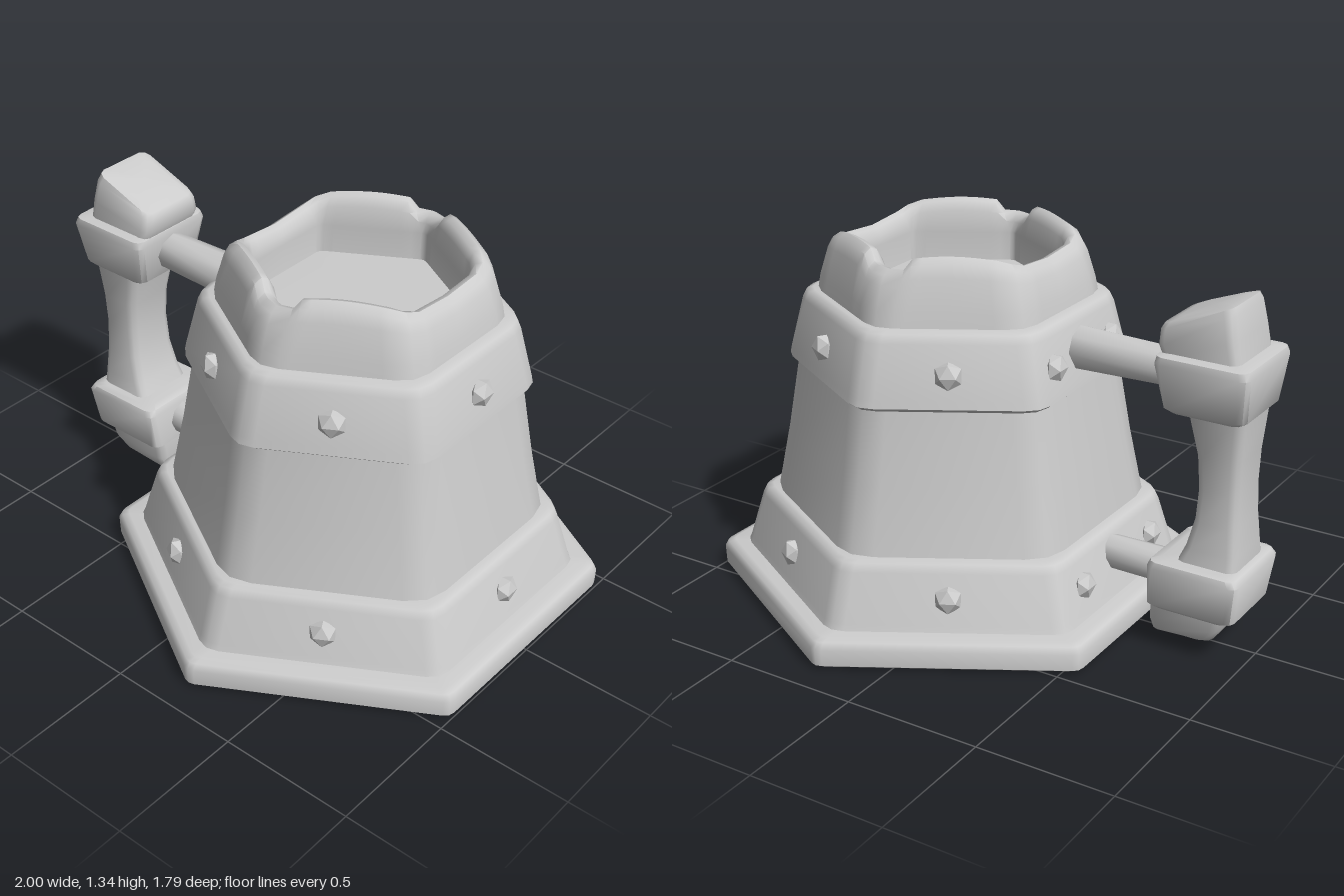
import * as THREE from 'three';
import { toCreasedNormals } from 'three/addons/utils/BufferGeometryUtils.js';

const CX = 0.22; // centre line of the mug
const ROOT = 2 / Math.sqrt(3);

// Skin over a stack of closed rings, capped at both ends
function loft(rings, crease = 0.9) {
  const n = rings[0].length, pos = [], idx = [];
  rings.forEach(r => r.forEach(p => pos.push(p.x, p.y, p.z)));
  for (let j = 0; j < rings.length - 1; j++) {
    for (let i = 0; i < n; i++) {
      const a = j * n + i, b = j * n + (i + 1) % n;
      idx.push(a, b, b + n, a, b + n, a + n);
    }
  }
  [0, rings.length - 1].forEach(j => {
    const c = new THREE.Vector3();
    rings[j].forEach(p => c.addScaledVector(p, 1 / n));
    const hub = pos.length / 3;
    pos.push(c.x, c.y, c.z);
    for (let i = 0; i < n; i++) {
      const a = j * n + i, b = j * n + (i + 1) % n;
      if (j === 0) idx.push(hub, b, a); else idx.push(hub, a, b);
    }
  });
  const g = new THREE.BufferGeometry();
  g.setAttribute('position', new THREE.Float32BufferAttribute(pos, 3));
  g.setIndex(idx);
  return toCreasedNormals(g, crease);
}

// Hexagon with softened corners; lift(side, t) shifts points up or down
function hexRing(apothem, y, soft, seg = 1, lift = () => 0) {
  const pts = [], R = apothem * ROOT, cut = soft / R;
  const at = (r, ang) => new THREE.Vector3(CX + r * Math.cos(ang), y, -r * Math.sin(ang));
  for (let k = 0; k < 6; k++) {
    const a0 = (k - 0.5) * Math.PI / 3, a1 = (k + 0.5) * Math.PI / 3;
    for (let s = 0; s <= seg; s++) {
      const t = s / seg;
      const p = at(R, a0).lerp(at(R, a1), cut + (1 - 2 * cut) * t);
      p.y += lift(k, t);
      pts.push(p);
    }
    const c = at(R - soft * 0.25, a1);
    c.y += (lift(k, 1) + lift((k + 1) % 6, 0)) / 2;
    pts.push(c);
  }
  return pts;
}

// Rectangle with softened corners, optionally sloping along x
function boxRing(x0, x1, y, depth, slope = 0, soft = 0.03) {
  const pts = [], cx = (x0 + x1) / 2, w = (x1 - x0) / 2, d = depth / 2;
  [[1, 1], [-1, 1], [-1, -1], [1, -1]].forEach(([sx, sz], k) => {
    const corner = [[w, d - soft], [w - soft * 0.3, d - soft * 0.3], [w - soft, d]];
    if (k % 2) corner.reverse();
    corner.forEach(([x, z]) =>
      pts.push(new THREE.Vector3(cx + sx * x, y + slope * sx * x, -0.01 - sz * z)));
  });
  return pts;
}

// Uneven lip: low on the two side faces, notched at the front and back corners
function rimLift(k, t) {
  if (k % 3 === 0) return -0.045 + 0.012 * Math.abs(2 * t - 1);
  const toNotch = (k === 1 || k === 4) ? 1 - t : t;
  return (toNotch < 0.1 ? -0.035 : 0) + 0.012 * Math.sin(Math.PI * t);
}

export function createModel() {
  const model = new THREE.Group();
  const grey = new THREE.MeshStandardMaterial({ color: 0xcccccc });
  grey.name = 'light grey';
  const add = (name, geometry, parent = model) => {
    const m = new THREE.Mesh(geometry, grey);
    m.name = name;
    parent.add(m);
    return m;
  };
  const hexPart = (name, soft, profile) =>
    add(name, loft(profile.map(([a, y]) => hexRing(a, y, soft))));

  // Hexagonal body and its bands
  hexPart('basePlate', 0.025, [[0.755, 0], [0.778, 0.015], [0.78, 0.075], [0.768, 0.1], [0.745, 0.108], [0.6, 0.112]]);
  hexPart('lowerBand', 0.05, [[0.71, 0.09], [0.695, 0.13], [0.648, 0.305], [0.635, 0.335], [0.615, 0.342], [0.55, 0.344]]);
  hexPart('body', 0.09, [[0.61, 0.3], [0.56, 0.58], [0.512, 0.9]]);
  hexPart('upperBand', 0.06, [[0.46, 0.843], [0.52, 0.846], [0.54, 0.862], [0.535, 0.89], [0.493, 1.075], [0.48, 1.105], [0.46, 1.113], [0.4, 1.115]]);

  // Lip and hollow; the fourth value is how much the uneven lip applies
  const rim = [
    [0.455, 1.05, 0.07, 0], [0.438, 1.16, 0.07, 0], [0.412, 1.27, 0.07, 0.7], [0.395, 1.312, 0.07, 1],
    [0.37, 1.33, 0.06, 1], [0.348, 1.322, 0.05, 1], [0.33, 1.29, 0.03, 0.8], [0.325, 1.22, 0.015, 0],
    [0.325, 0.72, 0.015, 0], [0.3, 0.7, 0.015, 0],
  ];
  add('rimAndHollow', loft(rim.map(([a, y, soft, k]) =>
    hexRing(a, y, soft, 10, (side, t) => k * rimLift(side, t)))));

  // Rivets: one per face, and a pair beside each handle rod
  const rivets = new THREE.Group();
  rivets.name = 'rivets';
  model.add(rivets);
  const rivetShape = new THREE.IcosahedronGeometry(0.052, 0);
  [[0.52, 0.975, 0.19], [0.672, 0.22, 0.24]].forEach(([apothem, y, pair]) => {
    for (let k = 0; k < 6; k++) {
      const ang = k * Math.PI / 3;
      (k === 3 ? [-pair, pair] : [0]).forEach(side => {
        const r = add('rivet', rivetShape, rivets);
        r.position.set(
          CX + apothem * Math.cos(ang) - side * Math.sin(ang), y,
          -apothem * Math.sin(ang) - side * Math.cos(ang));
        r.rotation.y = ang;
        r.scale.x = 0.75;
      });
    }
  });

  // Handle: blocks, grip, tilted knob and foot
  const handle = new THREE.Group();
  handle.name = 'handle';
  model.add(handle);
  const boxPart = (name, sections) => add(name, loft(sections.map(s => boxRing(...s))), handle);
  boxPart('upperBlock', [
    [-0.96, -0.70, 0.885, 0.27, 0], [-0.98, -0.68, 0.9, 0.3, 0], [-0.998, -0.655, 1.06, 0.36, 0],
    [-0.99, -0.66, 1.085, 0.345, 0], [-0.96, -0.69, 1.092, 0.29, 0]]);
  boxPart('lowerBlock', [
    [-0.95, -0.67, 0.158, 0.28, 0], [-0.975, -0.645, 0.172, 0.31, 0], [-0.995, -0.65, 0.32, 0.35, 0],
    [-0.98, -0.66, 0.342, 0.335, 0], [-0.95, -0.69, 0.348, 0.28, 0]]);
  boxPart('grip', [
    [-0.96, -0.735, 0.33, 0.25], [-0.957, -0.765, 0.4, 0.23], [-0.95, -0.79, 0.5, 0.21],
    [-0.947, -0.797, 0.62, 0.2], [-0.95, -0.79, 0.74, 0.21], [-0.963, -0.755, 0.9, 0.24]]);
  boxPart('knob', [
    [-0.95, -0.67, 1.07, 0.28, 0], [-0.93, -0.65, 1.14, 0.28, -0.2], [-0.915, -0.65, 1.205, 0.26, -0.33],
    [-0.905, -0.66, 1.228, 0.24, -0.38], [-0.88, -0.7, 1.238, 0.19, -0.38]]);
  boxPart('foot', [
    [-0.85, -0.67, 0.048, 0.18, 0], [-0.88, -0.65, 0.06, 0.22, -0.05],
    [-0.915, -0.645, 0.11, 0.26, -0.05], [-0.93, -0.65, 0.18, 0.27, 0]]);

  // Rods joining the handle to the mug
  [['upperRod', -0.29, 0.99, 0.08, 0.068], ['lowerRod', -0.41, 0.25, 0.062, 0.066]].forEach(
    ([name, end, y, rMug, rHandle]) => {
      const len = end + 0.75;
      const rod = add(name, toCreasedNormals(new THREE.CylinderGeometry(rMug, rHandle, len, 8), 0.9), handle);
      rod.rotation.z = -Math.PI / 2;
      rod.position.set(end - len / 2, y, -0.01);
    });

  return model;
}
